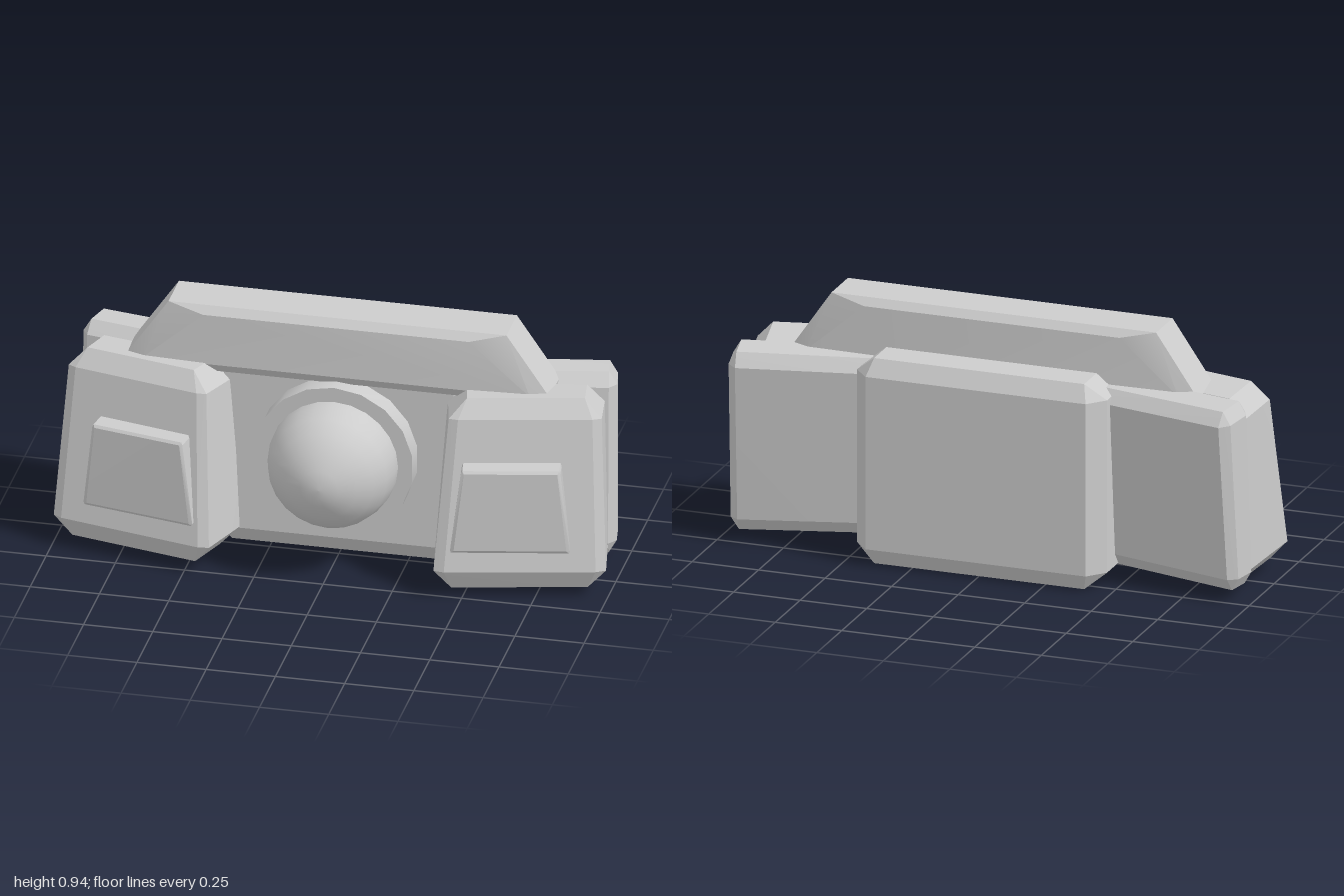
import * as THREE from 'three';
import { toCreasedNormals } from 'three/addons/utils/BufferGeometryUtils.js';
import { ConvexGeometry } from 'three/addons/geometries/ConvexGeometry.js';

const V = (x, y, z) => new THREE.Vector3(x, y, z);
const mix = THREE.MathUtils.lerp;

// Eight-cornered block with bevelled edges. Each end lists
// [x, y, z] for back inner, back outer, front inner, front outer.
// bevel: u, w = vertical edges, v = height of the rim, iu, iw = inset of the end faces.
function block(bottom, top, { u, v, w, iu, iw }, side = 1) {
  const at = (a, b, c) => {
    const p = [0, 1, 2].map((i) => {
      const level = (q) => mix(mix(q[0][i], q[1][i], a), mix(q[2][i], q[3][i], a), c);
      return mix(level(bottom), level(top), b);
    });
    return V(p[0] * side, p[1], p[2]);
  };
  const points = [];
  const inset = (s, d) => (s ? 1 - d : d);
  for (const a of [0, 1]) for (const b of [0, 1]) for (const c of [0, 1]) {
    points.push(at(inset(a, iu), b, inset(c, iw)));
    points.push(at(inset(a, u), inset(b, v), c));
    points.push(at(a, inset(b, v), inset(c, w)));
  }
  return toCreasedNormals(new ConvexGeometry(points), 0.3);
}

// Rectangle of corners at one height, centred on x = 0
const rect = (x, y, back, front) => [[-x, y, back], [x, y, back], [-x, y, front], [x, y, front]];

export function createModel() {
  const model = new THREE.Group();
  const grey = new THREE.MeshStandardMaterial({ color: 0xcccccc });
  grey.name = 'plainGrey';
  const add = (name, geometry) => {
    const mesh = new THREE.Mesh(geometry, grey);
    mesh.name = name;
    model.add(mesh);
    return mesh;
  };

  // Central body
  add('body', block(rect(0.47, 0, -0.325, 0), rect(0.47, 0.765, -0.325, 0),
    { u: 0.06, v: 0.08, w: 0.2, iu: 0.08, iw: 0.11 }));

  // Tapered beam across the top, bevelled front and back
  const beam = [];
  for (const s of [-1, 1]) {
    for (const z of [-0.142, 0.023]) beam.push(V(s * 0.61, 0.935, z), V(s * 0.765, 0.71, z), V(s * 0.765, 0.68, z));
    for (const z of [-0.165, 0.048]) beam.push(V(s * 0.48, 0.907, z), V(s * 0.7, 0.715, z));
  }
  add('topBeam', toCreasedNormals(new ConvexGeometry(beam), 0.3));

  // Round mount and dome
  const mount = add('domeMount', toCreasedNormals(new THREE.CylinderGeometry(0.287, 0.287, 0.1, 18), 0.5));
  mount.rotation.x = Math.PI / 2;
  mount.position.set(0, 0.402, 0.03);
  const profile = [[0.232, 0], [0.23, 0.04], [0.215, 0.1], [0.18, 0.155], [0.13, 0.2], [0.07, 0.232], [0.03, 0.243], [0, 0.245]];
  const dome = add('dome', new THREE.LatheGeometry(profile.map(([r, h]) => new THREE.Vector2(r, h)), 24));
  dome.rotation.x = Math.PI / 2;
  dome.position.set(0, 0.402, 0.08);

  for (const side of [1, -1]) {
    const label = side > 0 ? 'left' : 'right';

    // Front pod, angled outward and leaning back
    add(label + 'Pod', block(
      [[0.345, 0.005, 0.01], [0.945, 0.005, -0.12], [0.405, 0.045, 0.31], [1.005, 0.045, 0.17]],
      [[0.39, 0.705, -0.04], [0.925, 0.705, -0.15], [0.445, 0.735, 0.18], [0.96, 0.735, 0.06]],
      { u: 0.06, v: 0.1, w: 0.06, iu: 0.11, iw: 0.15 }, side));

    // Raised panel on the pod
    add(label + 'PodPanel', block(
      [[0.45, 0.19, 0.2], [0.86, 0.19, 0.11], [0.465, 0.19, 0.285], [0.88, 0.19, 0.197]],
      [[0.485, 0.51, 0.16], [0.825, 0.51, 0.08], [0.505, 0.51, 0.278], [0.845, 0.51, 0.205]],
      { u: 0.03, v: 0.03, w: 0.05, iu: 0.01, iw: 0.06 }, side));

    // Rear side plate
    add(label + 'RearPlate', block(
      [[0.38, 0.06, -0.16], [0.95, 0.04, -0.26], [0.4, 0.055, 0], [0.975, 0.04, -0.115]],
      [[0.38, 0.725, -0.22], [0.935, 0.72, -0.325], [0.4, 0.735, -0.03], [0.97, 0.735, -0.15]],
      { u: 0.05, v: 0.07, w: 0.2, iu: 0.05, iw: 0.2 }, side));
  }
  return model;
}
